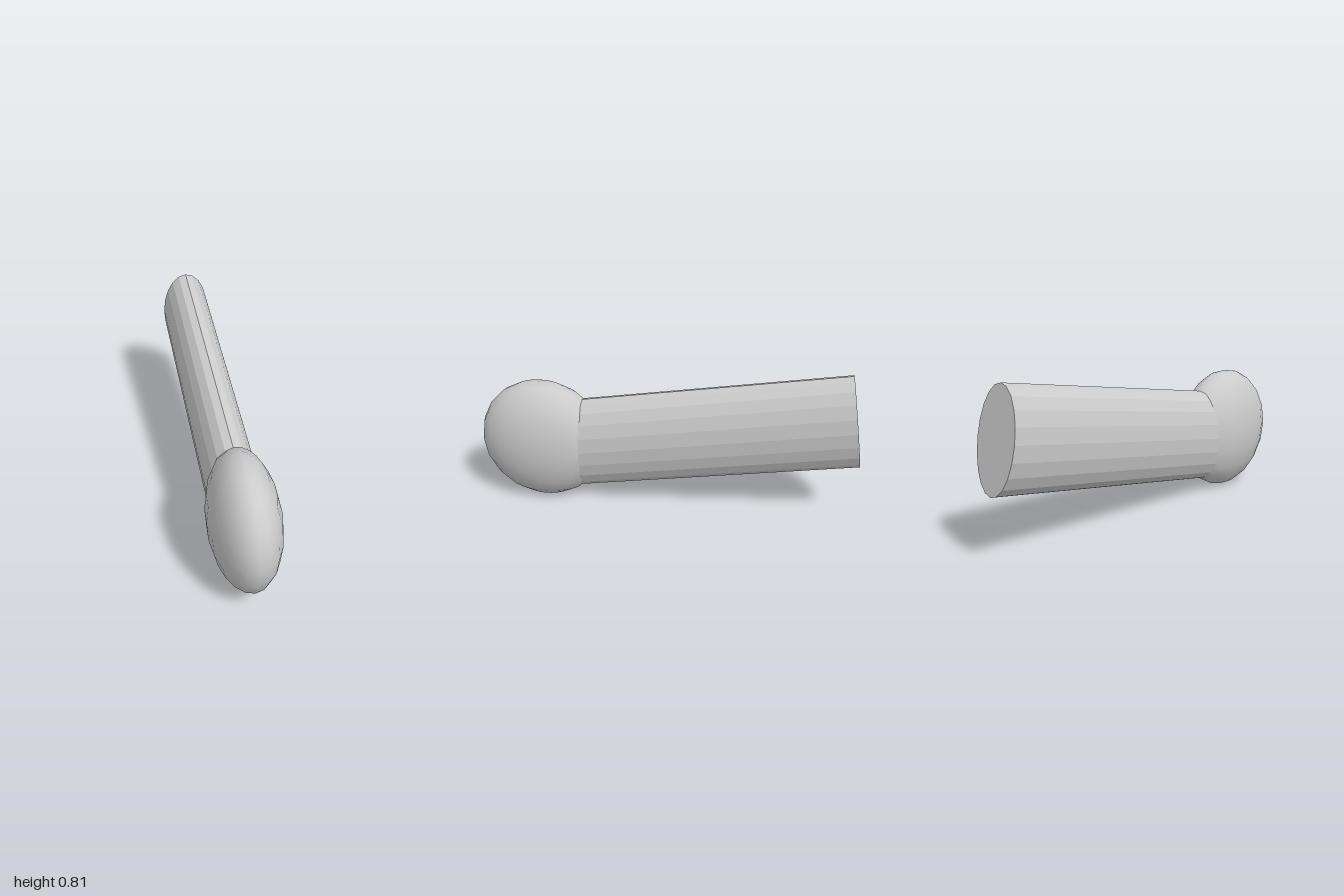
import * as THREE from 'three';

export function createModel() {
  const group = new THREE.Group();

  // flattened round head at the front
  const head = new THREE.Mesh(
    new THREE.SphereGeometry(0.336, 20, 10),
    new THREE.MeshStandardMaterial({ color: 0xcccccc })
  );
  head.name = 'head';
  head.scale.x = 0.51;
  head.position.set(0, 0.336, 0.664);
  group.add(head);

  // oval shaft rising gently to the back, its front end buried in the head
  const start = new THREE.Vector3(-0.003, 0.302, 0.6);
  const end = new THREE.Vector3(-0.003, 0.568, -0.957);
  const axis = end.clone().sub(start);
  const shaft = new THREE.Mesh(
    new THREE.CylinderGeometry(0.25, 0.25, axis.length(), 20),
    new THREE.MeshStandardMaterial({ color: 0xcccccc, flatShading: true })
  );
  shaft.name = 'shaft';
  shaft.scale.x = 0.516;
  shaft.rotation.x = Math.atan2(axis.z, axis.y);
  shaft.position.copy(start).add(end).multiplyScalar(0.5);
  shaft.position.x = -0.003;
  group.add(shaft);

  return group;
}
